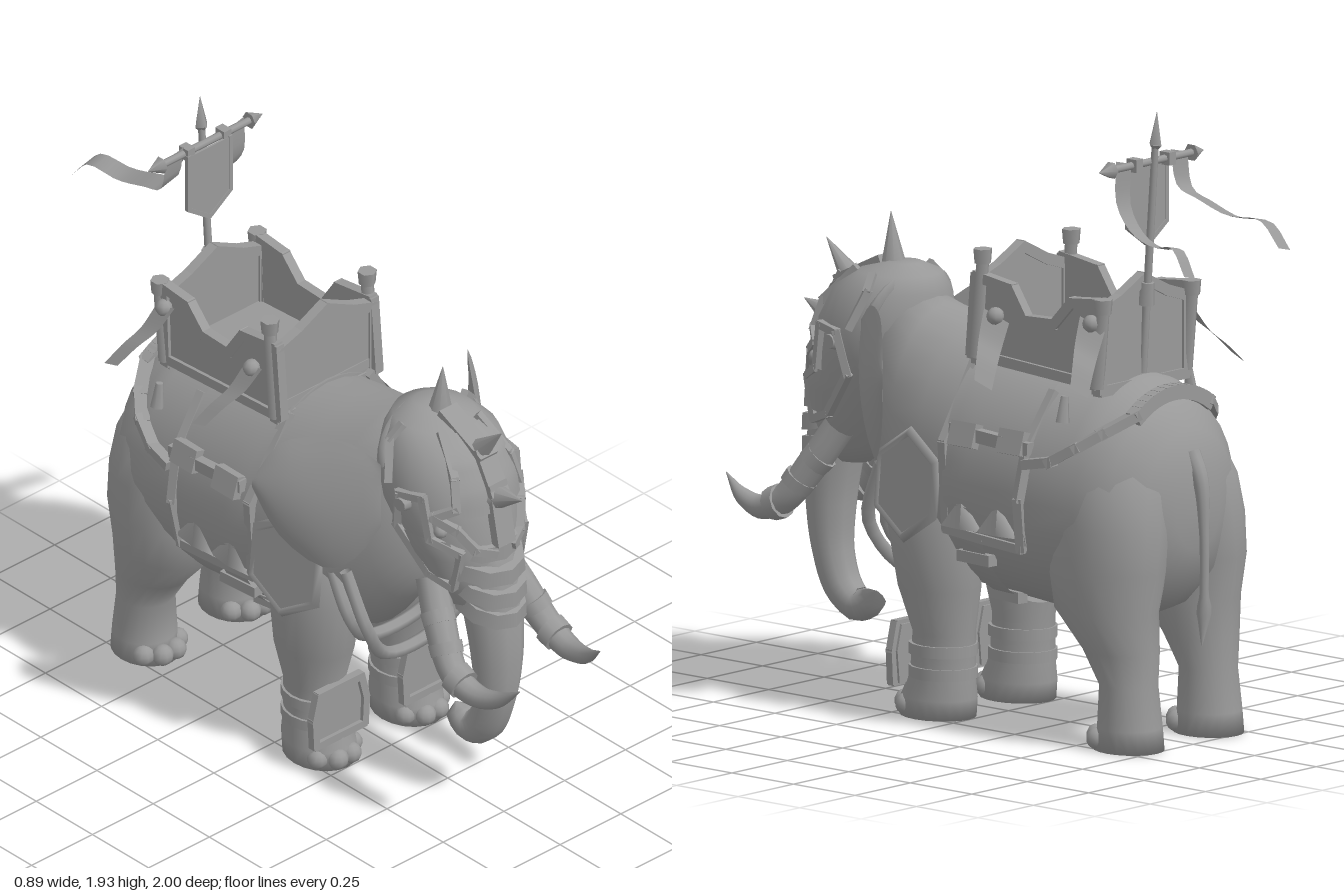
import * as THREE from 'three';
import { mergeGeometries } from 'three/addons/utils/BufferGeometryUtils.js';

const V = (x, y, z) => new THREE.Vector3(x, y, z);

// Cross-sections: [position along axis, centre x, centre on other axis, radius x, other radius]
const BODY = [[0.45, 0, 0.96, 0.14, 0.24], [0.36, 0, 0.93, 0.205, 0.335], [0.25, 0, 0.84, 0.265, 0.385], [0.1, 0, 0.795, 0.31, 0.4],
  [-0.1, 0, 0.77, 0.33, 0.39], [-0.35, 0, 0.745, 0.333, 0.385], [-0.55, 0, 0.735, 0.322, 0.37], [-0.66, 0, 0.735, 0.285, 0.325],
  [-0.735, 0, 0.73, 0.205, 0.24], [-0.77, 0, 0.73, 0.1, 0.13]];
const HEAD = [[0.69, 0, 0.63, 0.05, 0.06], [0.75, 0, 0.62, 0.11, 0.12], [0.85, 0, 0.59, 0.15, 0.16], [0.95, 0, 0.55, 0.18, 0.195],
  [1.05, 0, 0.51, 0.2, 0.215], [1.15, 0, 0.49, 0.205, 0.215], [1.25, 0, 0.47, 0.175, 0.18], [1.3, 0, 0.44, 0.125, 0.13], [1.33, 0, 0.42, 0.05, 0.05]];
const FRONT_LEG = [[0, 0.18, 0.125, 0.105, 0.125], [0.06, 0.18, 0.12, 0.105, 0.125], [0.13, 0.18, 0.105, 0.092, 0.105],
  [0.26, 0.18, 0.1, 0.09, 0.1], [0.4, 0.19, 0.11, 0.115, 0.135], [0.6, 0.2, 0.12, 0.125, 0.16], [0.75, 0.18, 0.12, 0.11, 0.14], [0.9, 0.13, 0.12, 0.06, 0.08]];
const HIND_LEG = [[0, 0.18, -0.65, 0.1, 0.115], [0.07, 0.18, -0.655, 0.1, 0.1], [0.2, 0.18, -0.65, 0.09, 0.09],
  [0.3, 0.18, -0.62, 0.105, 0.125], [0.42, 0.185, -0.565, 0.135, 0.175], [0.55, 0.18, -0.565, 0.15, 0.2], [0.68, 0.165, -0.57, 0.16, 0.195],
  [0.8, 0.145, -0.57, 0.16, 0.18], [0.95, 0.1, -0.56, 0.13, 0.14]];

// Point on a lofted part at station t and angle a, raised by off
function surf(sec, axis, t, a, off = 0) {
  const up = sec[0][0] < sec[1][0] ? 1 : -1;
  let i = 0;
  while (i < sec.length - 2 && (t - sec[i + 1][0]) * up > 0) i++;
  const k = THREE.MathUtils.clamp((t - sec[i][0]) / (sec[i + 1][0] - sec[i][0]), 0, 1);
  const [, cx, c, r1, r2] = sec[i].map((v, j) => v + (sec[i + 1][j] - v) * k);
  const x = cx + (r1 + off) * Math.sin(a), w = c + (r2 + off) * Math.cos(a);
  return axis === 'z' ? V(x, w, t) : V(x, t, w);
}

// Grid of points bent by a rule f(u, v)
function sheet(f, nu, nv) {
  const g = new THREE.PlaneGeometry(1, 1, nu, nv), p = g.attributes.position, uv = g.attributes.uv;
  for (let i = 0; i < p.count; i++) p.setXYZ(i, ...f(uv.getX(i), uv.getY(i)).toArray());
  g.computeVertexNormals();
  return g;
}

// Closed loft with end caps
function loft(sec, axis, n = 20) {
  const pos = [], idx = [], add = p => pos.push(p.x, p.y, p.z);
  sec.forEach(s => { for (let j = 0; j < n; j++) add(surf(sec, axis, s[0], j / n * Math.PI * 2)); });
  const last = sec.length - 1;
  for (const s of [sec[0], sec[last]]) add(axis === 'z' ? V(s[1], s[2], s[0]) : V(s[1], s[0], s[2]));
  for (let j = 0; j < n; j++) {
    const k = (j + 1) % n;
    for (let i = 0; i < last; i++) {
      const a = i * n + j, b = i * n + k;
      idx.push(a, b, a + n, b, b + n, a + n);
    }
    idx.push(n * (last + 1), k, j, n * (last + 1) + 1, last * n + j, last * n + k);
  }
  const g = new THREE.BufferGeometry();
  g.setAttribute('position', new THREE.Float32BufferAttribute(pos, 3));
  g.setIndex(idx);
  g.computeVertexNormals();
  return g;
}

// Round limb along points [x, y, z, radius]
function taper(pts, seg = 24, n = 10) {
  const curve = new THREE.CatmullRomCurve3(pts.map(p => V(p[0], p[1], p[2])));
  const g = new THREE.TubeGeometry(curve, seg, 1, n), pos = g.attributes.position, v = V();
  for (let i = 0; i < pos.count; i++) {
    const u = Math.floor(i / (n + 1)) / seg, t = curve.getUtoTmapping(u) * (pts.length - 1);
    const k = Math.min(Math.floor(t), pts.length - 2), c = curve.getPointAt(u);
    v.fromBufferAttribute(pos, i).sub(c).multiplyScalar(THREE.MathUtils.lerp(pts[k][3], pts[k + 1][3], t - k)).add(c);
    pos.setXYZ(i, v.x, v.y, v.z);
  }
  return g;
}

// Square bars joining points in turn
function bars(pts, w = 0.025, h = w) {
  const o = new THREE.Object3D(), out = [];
  for (let i = 0; i < pts.length - 1; i++) {
    const g = new THREE.BoxGeometry(w, h, pts[i].distanceTo(pts[i + 1]) + w * 0.6);
    o.position.copy(pts[i]).lerp(pts[i + 1], 0.5);
    o.lookAt(pts[i + 1]);
    o.updateMatrix();
    out.push(g.applyMatrix4(o.matrix));
  }
  return mergeGeometries(out);
}

// Cone or rod from a to b
function rod(a, b, r0, r1, n = 8) {
  const d = b.clone().sub(a), g = new THREE.CylinderGeometry(r1, r0, d.length(), n);
  g.applyQuaternion(new THREE.Quaternion().setFromUnitVectors(V(0, 1, 0), d.normalize()));
  return g.translate((a.x + b.x) / 2, (a.y + b.y) / 2, (a.z + b.z) / 2);
}

const plate = (pts, depth) => new THREE.ExtrudeGeometry(new THREE.Shape(pts.map(p => new THREE.Vector2(p[0], p[1]))), { depth, bevelEnabled: false });

// Strip of cloth along a path, narrow at the end
function ribbon(pts, width, across) {
  const c = new THREE.CatmullRomCurve3(pts);
  return sheet((u, v) => c.getPoint(v).addScaledVector(across, (u - 0.5) * width * (1 - 0.3 * v)), 2, 16);
}

function mirrored(g) {
  const m = g.clone().scale(-1, 1, 1), n = m.attributes.position.count;
  const idx = m.index ? Array.from(m.index.array) : Array.from({ length: n }, (_, i) => i);
  for (let i = 0; i < idx.length; i += 3) [idx[i], idx[i + 1]] = [idx[i + 1], idx[i]];
  m.setIndex(idx);
  return m;
}

export function createModel() {
  const group = new THREE.Group();
  const grey = new THREE.MeshStandardMaterial({ color: 0x999999, side: THREE.DoubleSide });
  grey.name = 'stone grey';
  const add = (name, g) => { const m = new THREE.Mesh(g, grey); m.name = name; group.add(m); };
  const pair = (name, g) => { add(name + 'Left', g); add(name + 'Right', mirrored(g)); };
  const angleAt = (z, y) => { const c = surf(BODY, 'z', z, Math.PI / 2).y, r = surf(BODY, 'z', z, 0).y - c; return Math.acos(THREE.MathUtils.clamp((y - c) / r, -1, 1)); };
  const onBody = (z, y, off = 0.014) => surf(BODY, 'z', z, angleAt(z, y), off);
  const onHead = (y, a, off = 0.008) => surf(HEAD, 'y', y, a, off);

  // Animal
  add('body', loft(BODY, 'z', 28));
  add('head', loft(HEAD, 'y', 24));
  pair('frontLeg', loft(FRONT_LEG, 'y'));
  pair('hindLeg', loft(HIND_LEG, 'y'));
  for (const [name, cz, r] of [['frontToe', 0.125, 0.115], ['hindToe', -0.645, 0.105]])
    for (const a of [-0.95, -0.32, 0.32, 0.95])
      pair(name, new THREE.SphereGeometry(0.034, 10, 7).translate(0.18 + Math.sin(a) * 0.085, 0.034, cz + Math.cos(a) * r));
  add('trunk', taper([[0, 1.02, 0.61, 0.1], [0, 0.85, 0.675, 0.098], [0, 0.7, 0.705, 0.092], [0, 0.55, 0.72, 0.08], [0, 0.4, 0.712, 0.065],
    [0, 0.29, 0.67, 0.06], [0, 0.245, 0.61, 0.054], [0, 0.26, 0.56, 0.045], [0, 0.29, 0.538, 0.036], [0, 0.295, 0.535, 0.002]], 36, 10));
  pair('tusk', taper([[0.13, 0.82, 0.57, 0.05], [0.165, 0.7, 0.645, 0.05], [0.195, 0.58, 0.74, 0.044], [0.193, 0.545, 0.83, 0.038],
    [0.18, 0.565, 0.92, 0.026], [0.165, 0.625, 1, 0.001]], 28));
  for (const [a, b] of [[V(0.155, 0.73, 0.62), V(0.165, 0.7, 0.645)], [V(0.178, 0.655, 0.68), V(0.186, 0.625, 0.7)], [V(0.195, 0.575, 0.745), V(0.195, 0.56, 0.785)]])
    pair('tuskRing', rod(a, b, 0.054, 0.052, 10));
  // Cupped ears, swept back from the head
  const earTop = new THREE.SplineCurve([[0, 1.18], [0.09, 1.24], [0.2, 1.25], [0.31, 1.22], [0.39, 1.09]].map(p => new THREE.Vector2(...p)));
  const earLow = new THREE.SplineCurve([[0, 0.96], [0.08, 0.83], [0.18, 0.785], [0.31, 0.89], [0.39, 1.06]].map(p => new THREE.Vector2(...p)));
  for (const [name, t] of [['earFace', 0.012], ['earBack', -0.012]])
    pair(name, sheet((u, v) => {
      const p = earLow.getPoint(u).lerp(earTop.getPoint(u), v), rim = Math.sin(Math.PI * v) * Math.sin(Math.PI * u);
      const d = rim * 0.03 - Math.sin(Math.PI * u) * 0.015 + t * Math.sqrt(Math.max(rim, 0));
      return V(0.2 + p.x * 0.63 + d * 0.78, p.y, 0.42 - p.x * 0.79 + d * 0.62);
    }, 12, 10));
  add('tail', taper([[0, 0.9, -0.74, 0.03], [0, 0.82, -0.78, 0.025], [0, 0.65, -0.795, 0.015], [0, 0.47, -0.795, 0.014], [0, 0.42, -0.795, 0.026], [0, 0.31, -0.785, 0.002]]));
  pair('eye', new THREE.SphereGeometry(0.022, 10, 8).translate(...onHead(1.03, 0.95, 0).toArray()));

  // Head armour
  const faceBand = (y0, y1, a0, a1, off) => sheet((u, v) => onHead(y0 + (y1 - y0) * v, a0 + (a1 - a0) * u, off), 10, 8);
  add('foreheadPlate', faceBand(1.08, 1.3, -0.6, 0.6, 0.012));
  add('foreheadRidge', bars([1.32, 1.25, 1.15, 1.05, 0.99].map(y => onHead(y, 0, 0.01)), 0.07, 0.03));
  add('foreheadBoss', rod(V(0, 1.12, 0.7), V(0, 1.125, 0.745), 0.042, 0.03, 6));
  for (const [a, b] of [[V(0, 1.29, 0.465), V(0, 1.475, 0.478)], [V(0, 1.23, 0.62), V(0, 1.36, 0.74)], [V(0, 1.12, 0.71), V(0, 1.16, 0.83)]])
    add('headSpike', rod(a, b, 0.044, 0.001, 8));
  pair('browFrame', bars([[1.3, 0.6], [1.2, 0.6], [1.11, 0.65], [1.08, 1], [1.04, 0.7], [0.97, 0.5], [0.95, 0.2]].map(p => onHead(...p)), 0.026));
  pair('cheekPlate', faceBand(0.86, 1.0, 0.85, 1.6, 0.012));
  pair('cheekFrame', bars([[1.14, 1.1], [1.13, 1.5], [1.0, 1.8], [0.86, 1.55], [0.83, 1.1], [0.96, 0.75], [1.0, 1.15], [1.14, 1.1]].map(p => onHead(...p)), 0.024));
  pair('cheekRivet', rod(onHead(1.1, 1.45, 0), onHead(1.1, 1.45, 0.025), 0.028, 0.022, 10));
  pair('headStrap', bars([[1.3, 1.6], [1.26, 1.8], [1.15, 1.7]].map(p => onHead(...p, 0.005)), 0.024));
  add('crownCollar', new THREE.TorusGeometry(0.175, 0.02, 5, 16, Math.PI).scale(1, 0.85, 1).rotateX(-0.3).translate(0, 1.165, 0.41));
  // Stacked trunk bands: height, centre z, half width, half depth
  for (const [y, z, rx, rz] of [[0.97, 0.64, 0.135, 0.13], [0.895, 0.66, 0.13, 0.138], [0.82, 0.675, 0.12, 0.137], [0.745, 0.69, 0.108, 0.125]])
    add('trunkBand', new THREE.CylinderGeometry(0.92, 1, 0.05, 10).scale(rx, 1, rz).rotateX(0.22).translate(0, y, z));

  // Chest collar and side shields
  for (const [dz, dy] of [[0.015, 0], [-0.06, 0.03]])
    add('chestCollar', taper([[-0.24, 0.76, 0.29 + dz, 0.02], [-0.215, 0.57, 0.36 + dz, 0.022], [-0.1, 0.42 + dy, 0.325 + dz, 0.022], [0.1, 0.42 + dy, 0.325 + dz, 0.022],
      [0.215, 0.57, 0.36 + dz, 0.022], [0.24, 0.76, 0.29 + dz, 0.02]], 24, 6));
  const hex = [new THREE.CylinderGeometry(0.14, 0.14, 0.02, 6).rotateX(Math.PI / 2), new THREE.TorusGeometry(0.15, 0.02, 4, 6).rotateZ(Math.PI / 6)];
  hex.forEach((g, i) => pair(i ? 'shieldFrame' : 'shield', g.scale(0.95, 1.05, 1).rotateY(Math.PI / 2 - 0.12).rotateZ(0.1).translate(0.318, 0.73, 0.125)));

  // Greaves and ankle straps
  pair('greave', plate([[-0.09, 0.1], [0.09, 0.1], [0.1, 0.2], [0.08, 0.28], [-0.08, 0.28], [-0.1, 0.2]], 0.02).translate(0.185, 0, 0.195));
  pair('greaveFrame', bars([[-0.1, 0.105], [0.1, 0.105], [0.105, 0.2], [0.085, 0.28], [-0.085, 0.28], [-0.105, 0.2], [-0.1, 0.105]].map(p => V(0.185 + p[0], p[1], 0.215)), 0.025));
  for (const y of [0.14, 0.21]) pair('ankleStrap', new THREE.CylinderGeometry(1, 1, 0.035, 16, 1).scale(0.1, 1, 0.11).translate(0.18, y, 0.104));

  // Saddlecloth, rump cloth and girth
  const cloth = (z0, z1, yLow, off) => sheet((u, v) => {
    const z = z0 + (z1 - z0) * v;
    return surf(BODY, 'z', z, (1 - 2 * u) * angleAt(z, yLow(z)), off);
  }, 28, 10);
  const rumpY = z => 0.86 + 0.15 * Math.pow(THREE.MathUtils.clamp((-0.42 - z) / 0.24, 0, 1), 1.3);
  add('saddlecloth', cloth(-0.03, -0.36, () => 0.61, 0.012));
  add('rumpCloth', cloth(-0.36, -0.67, rumpY, 0.012));
  pair('clothTrim', bars([[-0.03, 1.12], [-0.03, 0.88], [-0.03, 0.62], [-0.18, 0.61], [-0.34, 0.6], [-0.35, 0.75], [-0.36, 0.9], [-0.37, 1.05]].map(p => onBody(...p)), 0.028));
  pair('rumpTrim', bars([-0.38, -0.46, -0.54, -0.6, -0.66].map(z => onBody(z, rumpY(z), 0.018)), 0.045, 0.03));
  add('rumpBand', bars(Array.from({ length: 13 }, (_, i) => surf(BODY, 'z', -0.66, (i / 6 - 1) * angleAt(-0.66, 1.01), 0.015)), 0.04, 0.045));
  for (const z of [-0.11, -0.26]) {
    const p = onBody(z, 0.68);
    pair('clothTooth', new THREE.ConeGeometry(0.085, 0.1, 4).scale(0.12, 1, 1).translate(p.x, p.y, p.z));
  }
  pair('sideStrap', bars([onBody(-0.07, 0.92, 0.022), onBody(-0.37, 0.9, 0.022)], 0.03, 0.04));
  for (const z of [-0.12, -0.31]) {
    const p = onBody(z, 0.91, 0.022);
    pair('strapBuckle', new THREE.BoxGeometry(0.04, 0.075, 0.1).rotateZ(0.3).translate(p.x, p.y, p.z));
  }
  add('girth', sheet((u, v) => surf(BODY, 'z', -0.07 - 0.1 * v, 1.75 + u * (Math.PI * 2 - 3.5), 0.014), 24, 1));
  for (const y of [0.41, 0.54]) pair('girthBuckle', bars([onBody(-0.06, y), onBody(-0.18, y)], 0.035));

  // Howdah
  const side = [[-0.03, 1.14], [-0.05, 1.38], [-0.19, 1.36], [-0.25, 1.27], [-0.37, 1.275], [-0.44, 1.35], [-0.54, 1.36], [-0.53, 1.11]];
  pair('howdahSide', plate(side, 0.02).rotateY(-Math.PI / 2).translate(0.2, 0, 0));
  pair('howdahRail', bars([...side, side[0]].map(p => V(0.195, p[1], p[0])), 0.032));
  add('howdahFloor', new THREE.BoxGeometry(0.4, 0.03, 0.5).rotateX(-0.06).translate(0, 1.15, -0.285));
  const end = [[-0.19, 1.12], [0.19, 1.12], [0.19, 1.36], [0.1, 1.39], [0, 1.44], [-0.1, 1.39], [-0.19, 1.36]];
  for (const [name, z, drop] of [['howdahFront', -0.05, 0], ['howdahBack', -0.54, 0.03]]) {
    const pts = end.map(([x, y]) => [x, y - drop]);
    add(name, plate(pts, 0.02).translate(0, 0, z - 0.01));
    add(name + 'Rail', bars([...pts, pts[0]].map(p => V(p[0], p[1], z)), 0.034));
  }
  for (const [z, y0, y1] of [[-0.05, 1.13, 1.43], [-0.54, 1.1, 1.34]]) {
    pair('howdahPost', rod(V(0.2, y0, z), V(0.2, y1, z - 0.025), 0.022, 0.02, 6));
    pair('postFinial', new THREE.CylinderGeometry(0.03, 0.026, 0.045, 6).translate(0.2, y1 + 0.015, z - 0.025));
  }
  for (const [z, y] of [[-0.14, 1.27], [-0.53, 1.3]]) {
    pair('pennant', ribbon([V(0.21, y, z), V(0.26, y - 0.07, z - 0.02), V(0.31, y - 0.12, z - 0.05), V(0.36, y - 0.18, z - 0.08)], 0.1, V(0.1, 0.35, 0.93)));
    pair('pennantKnot', new THREE.SphereGeometry(0.028, 8, 6).translate(0.215, y, z));
  }
  pair('sideTassel', rod(V(0.28, 1.08, -0.48), V(0.29, 1.0, -0.48), 0.012, 0.022, 6));

  // Standard
  add('bannerPole', rod(V(0, 1.12, -0.545), V(0, 1.84, -0.597), 0.013, 0.011));
  add('poleSocket', rod(V(0, 1.33, -0.56), V(0, 1.4, -0.565), 0.026, 0.022, 6));
  add('spearTip', rod(V(0, 1.83, -0.597), V(0, 1.93, -0.603), 0.024, 0.001, 4));
  add('spearBase', rod(V(0, 1.815, -0.595), V(0, 1.83, -0.597), 0.01, 0.024, 4));
  add('crossbar', rod(V(-0.19, 1.775, -0.58), V(0.19, 1.775, -0.58), 0.012, 0.012));
  pair('crossbarTip', rod(V(0.18, 1.775, -0.58), V(0.235, 1.775, -0.58), 0.028, 0.001, 6));
  const flag = [[-0.085, 1.77], [-0.085, 1.58], [0, 1.52], [0.085, 1.58], [0.085, 1.77]];
  add('banner', plate(flag, 0.008).translate(0, 0, -0.567));
  add('bannerHem', bars(flag.map(p => V(p[0], p[1], -0.563)), 0.014));
  pair('bannerLoop', new THREE.BoxGeometry(0.03, 0.04, 0.04).translate(0.075, 1.775, -0.58));
  add('streamerRight', ribbon([V(-0.125, 1.79, -0.58), V(-0.13, 1.68, -0.6), V(-0.13, 1.65, -0.68), V(-0.13, 1.615, -0.8), V(-0.14, 1.615, -0.92), V(-0.14, 1.54, -0.995)], 0.075, V(1, 0.25, 0)));
  add('streamerLeft', ribbon([V(0.125, 1.79, -0.58), V(0.135, 1.66, -0.59), V(0.135, 1.58, -0.65), V(0.14, 1.55, -0.74), V(0.15, 1.56, -0.82), V(0.155, 1.48, -0.875)], 0.07, V(1, 0.25, 0)));
  return group;
}
